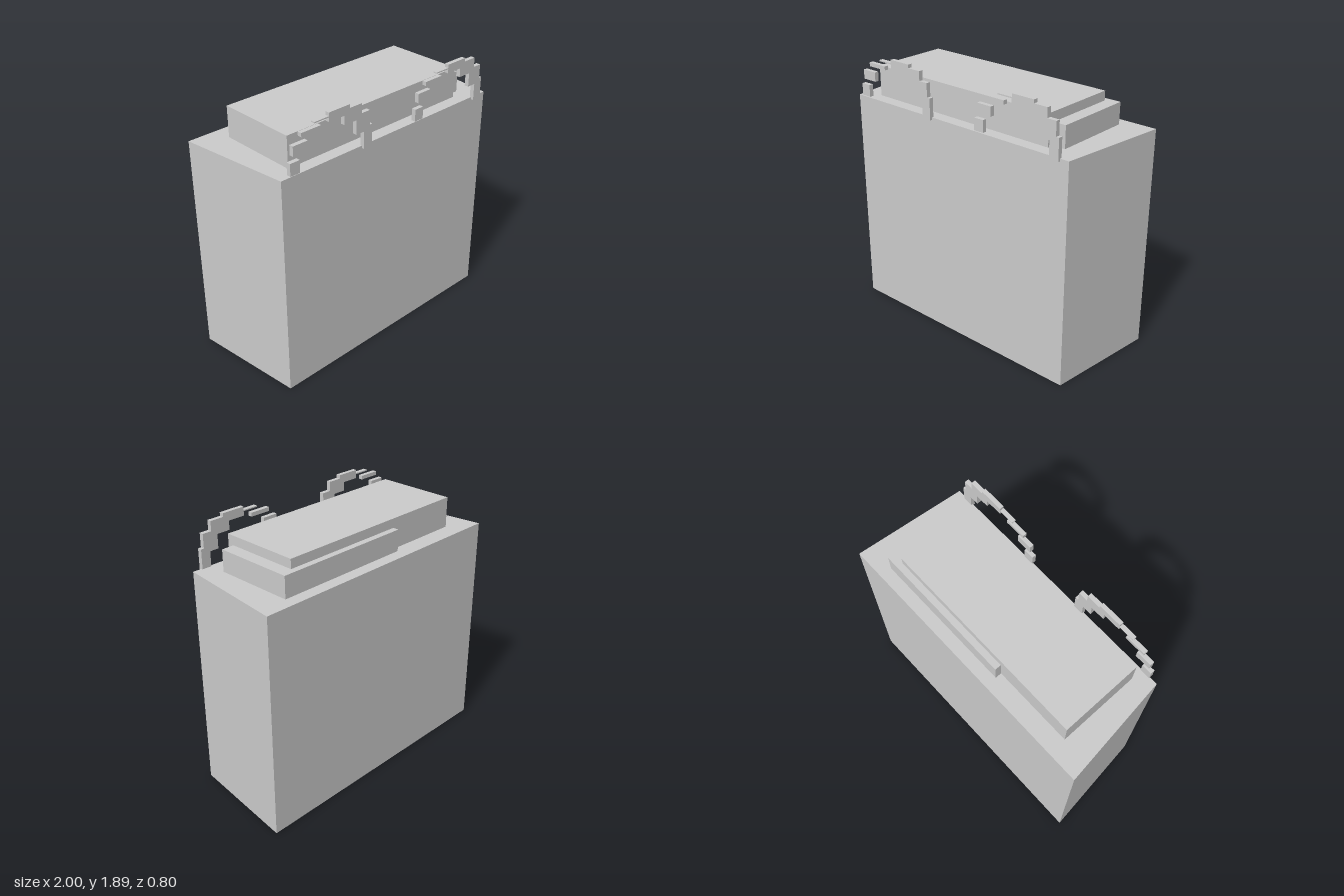
import * as THREE from 'three';

const material = new THREE.MeshStandardMaterial({ color: 0xcccccc, flatShading: true });

function add(parent, name, geometry) {
  const mesh = new THREE.Mesh(geometry, material);
  mesh.name = name;
  parent.add(mesh);
  return mesh;
}

// Box given by its limits on each axis
function block(parent, name, [x0, x1], [y0, y1], [z0, z1]) {
  const mesh = add(parent, name, new THREE.BoxGeometry(x1 - x0, y1 - y0, z1 - z0));
  mesh.position.set((x0 + x1) / 2, (y0 + y1) / 2, (z0 + z1) / 2);
}

function extrude(points, depth) {
  const shape = new THREE.Shape(points.map(([x, y]) => new THREE.Vector2(x, y)));
  return new THREE.ExtrudeGeometry(shape, { depth, bevelEnabled: false });
}

// Stepped arch: one solid right half and four loose pieces on the left
function createArch(x) {
  const arch = new THREE.Group();
  arch.name = 'steppedArch';
  const z = [0.37, 0.4];
  const solid = add(arch, 'archSteps', extrude([
    [-0.553, 1.83], [-0.43, 1.83], [-0.43, 1.768], [-0.332, 1.768], [-0.332, 1.671],
    [-0.267, 1.671], [-0.267, 1.553], [-0.198, 1.553], [-0.198, 1.703], [-0.22, 1.703],
    [-0.22, 1.80], [-0.286, 1.80], [-0.286, 1.866], [-0.385, 1.866], [-0.385, 1.89], [-0.553, 1.89],
  ], z[1] - z[0]));
  solid.position.z = z[0];
  const pieces = [
    [[-0.855, -0.782], [1.585, 1.668]],
    [[-0.83, -0.718], [1.705, 1.77]],
    [[-0.765, -0.615], [1.805, 1.832]],
    [[-0.665, -0.553], [1.859, 1.867]],
  ];
  for (const [px, py] of pieces) block(arch, 'archPiece', px, py, z);
  arch.position.x = x;
  return arch;
}

export function createModel() {
  const model = new THREE.Group();
  model.name = 'model';

  // Tapered body, narrower at the front; plan drawn with -z up, then stood upright
  const body = add(model, 'body', extrude(
    [[-0.912, -0.383], [0.912, -0.383], [1, 0.4], [-1, 0.4]], 1.57));
  body.rotation.x = -Math.PI / 2;

  // Overlapping slabs on the top
  block(model, 'upperSlab', [-0.785, 0.69], [1.57, 1.785], [-0.272, 0.295]);
  block(model, 'lowerSlab', [-0.22, 0.78], [1.57, 1.72], [-0.315, 0.248]);

  // Two identical arches along the front edge
  for (const x of [0, 1.046]) model.add(createArch(x));

  return model;
}
